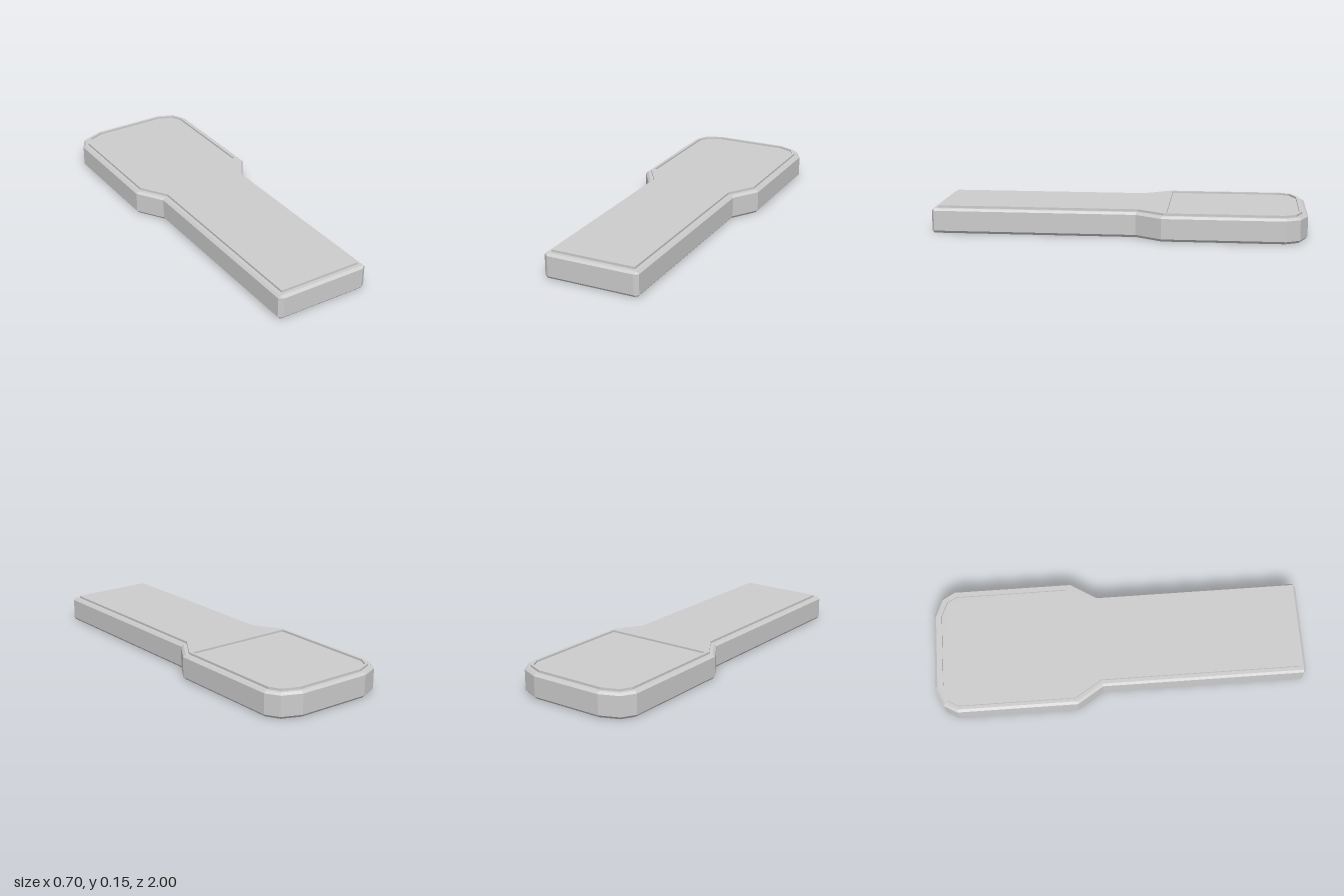
import * as THREE from 'three';

const material = new THREE.MeshStandardMaterial({ color: 0xcccccc, flatShading: true });

// Full outline from the right half, listed front to back as [x, z]
const mirrored = (half) => [...half, ...half.map(([x, z]) => [-x, z]).reverse()];

const toPoints = (outline) => outline.map(([x, z]) => new THREE.Vector2(x, -z));

// Flat slab with an outline in x/z, between two heights
function slab(name, outline, bottom, top, hole) {
  const shape = new THREE.Shape(toPoints(outline));
  if (hole) shape.holes.push(new THREE.Path(toPoints(hole)));
  const geometry = new THREE.ExtrudeGeometry(shape, { depth: top - bottom, bevelEnabled: false });
  geometry.rotateX(-Math.PI / 2).translate(0, bottom, 0);
  const mesh = new THREE.Mesh(geometry, material);
  mesh.name = name;
  return mesh;
}

// Closed solid through stacked rings, each { y, outline } with equal point counts
function loft(name, rings) {
  const n = rings[0].outline.length;
  const positions = rings.flatMap(({ y, outline }) => outline.flatMap(([x, z]) => [x, y, z]));
  const index = [];
  for (let r = 0; r < rings.length - 1; r++) {
    for (let i = 0; i < n; i++) {
      const a = r * n + i, b = r * n + (i + 1) % n;
      index.push(a, b, b + n, a, b + n, a + n);
    }
  }
  const last = (rings.length - 1) * n;
  for (const [a, b, c] of THREE.ShapeUtils.triangulateShape(toPoints(rings[0].outline), [])) {
    index.push(a, c, b, last + a, last + b, last + c);
  }
  const geometry = new THREE.BufferGeometry();
  geometry.setAttribute('position', new THREE.Float32BufferAttribute(positions, 3));
  geometry.setIndex(index);
  const flat = geometry.toNonIndexed();
  flat.computeVertexNormals();
  const mesh = new THREE.Mesh(flat, material);
  mesh.name = name;
  return mesh;
}

export function createModel() {
  const group = new THREE.Group();
  group.name = 'paddle';

  // Body: wide rounded head at the back, straight handle at the front
  const wide = mirrored([
    [0.237, 1], [0.26, 0.985], [0.26, -0.1], [0.35, -0.24],
    [0.35, -0.885], [0.308, -0.957], [0.205, -1],
  ]);
  // Bevel edge, where each front corner closes to a point
  const narrow = mirrored([
    [0.248, 0.987], [0.248, 0.986], [0.248, -0.103], [0.337, -0.243],
    [0.337, -0.88], [0.3, -0.947], [0.203, -0.987],
  ]);
  group.add(loft('body', [
    { y: 0, outline: narrow },
    { y: 0.014, outline: wide },
    { y: 0.122, outline: wide },
    { y: 0.134, outline: narrow },
  ]));

  // Raised cover following the body outline, open over the head
  const cover = mirrored([
    [0.229, 0.968], [0.229, -0.108], [0.32, -0.25],
    [0.32, -0.875], [0.288, -0.934], [0.2, -0.97],
  ]);
  const recess = mirrored([
    [0.305, -0.265], [0.305, -0.87], [0.278, -0.922], [0.197, -0.955],
  ]);
  group.add(slab('topCover', cover, 0.134, 0.146, recess));

  // Sunken panel in the head
  group.add(slab('headPanel', recess, 0.133, 0.136));

  return group;
}
